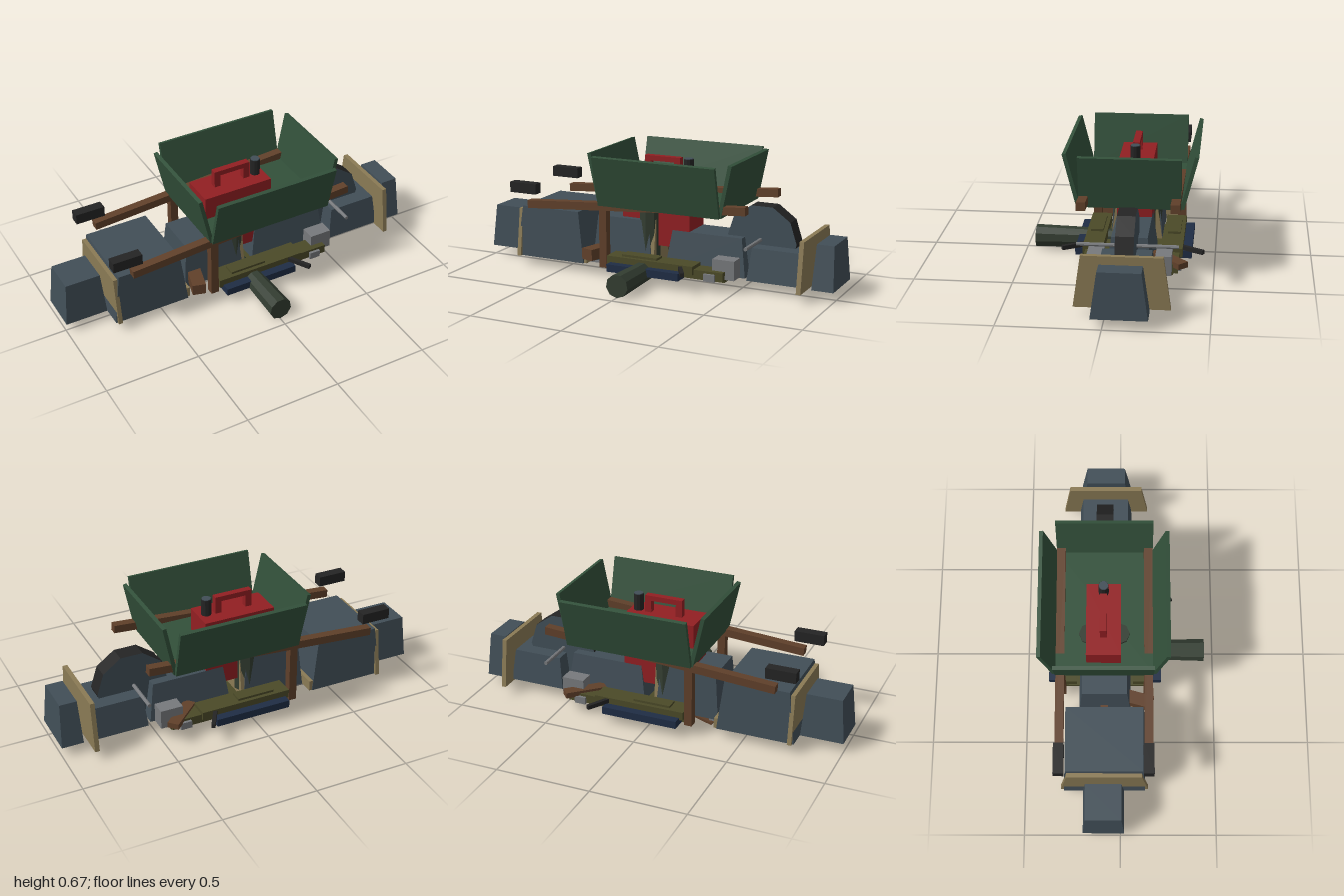
import * as THREE from 'three';

const mat = (name, color) => {
  const m = new THREE.MeshStandardMaterial({ color });
  m.name = name;
  return m;
};
const MID = -0.083; // depth of the mirror plane

export function createModel() {
  const model = new THREE.Group();
  model.name = 'barrowAndRubble';
  const slate = mat('slate', 0x414e57), tan = mat('tan', 0x8a7a55), green = mat('green', 0x32503a);
  const brown = mat('brown', 0x60402a), red = mat('red', 0x921f22), black = mat('black', 0x242424);
  const drab = mat('drabGreen', 0x333d31), navy = mat('navy', 0x1f2d45);
  const olive = mat('olive', 0x4b4a28), steel = mat('steel', 0x77797c);

  const add = (name, geometry, material) => {
    const m = new THREE.Mesh(geometry, material);
    m.name = name;
    model.add(m);
    return m;
  };
  // box from its lower and upper limits on each axis
  const box = (name, material, x0, x1, y0, y1, z0, z1) => {
    const m = add(name, new THREE.BoxGeometry(x1 - x0, y1 - y0, z1 - z0), material);
    m.position.set((x0 + x1) / 2, (y0 + y1) / 2, (z0 + z1) / 2);
    return m;
  };
  // box whose top is drawn in by dx and dz on each side
  const taper = (name, material, x0, x1, y0, y1, z0, z1, dx, dz) => {
    const m = box(name, material, x0, x1, y0, y1, z0, z1);
    const p = m.geometry.attributes.position;
    for (let i = 0; i < p.count; i++) {
      if (p.getY(i) > 0) {
        p.setX(i, p.getX(i) - Math.sign(p.getX(i)) * dx);
        p.setZ(i, p.getZ(i) - Math.sign(p.getZ(i)) * dz);
      }
    }
    m.geometry.computeVertexNormals();
    return m;
  };
  // bar of square section between two points
  const beam = (name, material, a, b, height, width) => {
    const from = new THREE.Vector3(...a), to = new THREE.Vector3(...b);
    const m = add(name, new THREE.BoxGeometry(width, height, from.distanceTo(to)), material);
    m.position.copy(from).add(to).multiplyScalar(0.5);
    m.lookAt(to);
    return m;
  };
  const drum = (name, material, rTop, rBottom, length, sides, x, y, z) => {
    const g = new THREE.CylinderGeometry(rTop, rBottom, length, sides).toNonIndexed();
    g.computeVertexNormals();
    const m = add(name, g, material);
    m.position.set(x, y, z);
    return m;
  };

  // stone blocks
  taper('rightEndBlock', slate, -1, -0.775, 0.055, 0.285, -0.195, 0.02, 0.02, 0.015);
  taper('rightBlock', slate, -0.775, -0.365, 0.055, 0.33, -0.295, 0.13, 0.035, 0.012);
  taper('innerRightBlock', slate, -0.345, 0, 0.06, 0.305, -0.22, 0.055, 0.022, 0.02);
  taper('innerLeftBlock', slate, 0.07, 0.52, 0.06, 0.262, -0.2, 0.03, 0.03, 0.025);
  taper('leftBlock', slate, 0.54, 0.845, 0.06, 0.23, -0.225, 0.06, 0.02, 0.02);
  taper('leftEndBlock', slate, 0.885, 1, 0.055, 0.285, -0.215, 0.055, 0.012, 0.032);

  // upright boards
  taper('leftBoard', tan, 0.838, 0.862, 0.052, 0.312, -0.312, 0.15, 0, 0.037);
  taper('rightBoard', tan, -0.767, -0.745, 0.055, 0.312, -0.312, 0.146, 0, 0.037);
  taper('middleBoard', tan, -0.01, 0.012, 0.055, 0.312, -0.22, 0.055, 0, 0.035);
  box('lowBoard', tan, -0.37, -0.35, 0.055, 0.11, -0.29, 0.12);

  // tray floor and four flared walls
  box('trayFloor', green, -0.245, 0.437, 0.398, 0.415, -0.335, 0.17);
  const wall = (length, x, z, turn, lean) => {
    const g = new THREE.BoxGeometry(length, 0.275, 0.02);
    g.translate(0, 0.1375, 0);
    const m = add('trayWall', g, green);
    m.rotation.set(lean, turn, 0, 'YXZ');
    m.position.set(x, 0.398, z);
  };
  wall(0.682, 0.096, 0.173, 0, 0.25);
  wall(0.682, 0.096, -0.339, Math.PI, 0.25);
  wall(0.505, 0.432, MID, Math.PI / 2, 0.2);
  wall(0.505, -0.242, MID, -Math.PI / 2, 0.22);

  // wheel with slate faces, and axle
  const wheel = drum('wheel', [black, slate, slate], 0.19, 0.19, 0.09, 10, 0.58, 0.25, MID);
  wheel.geometry = new THREE.CylinderGeometry(0.19, 0.19, 0.09, 10, 1, false, Math.PI / 2).toNonIndexed();
  wheel.geometry.clearGroups();
  wheel.geometry.addGroup(0, 60, 0);
  wheel.geometry.addGroup(60, 30, 1);
  wheel.geometry.addGroup(90, 30, 2);
  wheel.geometry.computeVertexNormals();
  wheel.rotation.x = Math.PI / 2;
  drum('axle', steel, 0.01, 0.01, 0.5, 8, 0.575, 0.255, MID).rotation.x = Math.PI / 2;

  // parts repeated at the front and back
  for (const s of [1, -1]) {
    const z = (d) => MID + s * d;
    const pair = (name, m, x0, x1, y0, y1, a, b) =>
      box(name, m, x0, x1, y0, y1, Math.min(z(a), z(b)), Math.max(z(a), z(b)));
    beam('handleRail', brown, [-0.68, 0.355, z(0.228)], [0.57, 0.445, z(0.228)], 0.042, 0.045);
    pair('handleGrip', black, -0.785, -0.628, 0.412, 0.468, 0.2, 0.253);
    pair('leg', brown, -0.247, -0.205, 0.06, 0.4, 0.207, 0.25);
    drum('bottle', drab, 0.058, 0.058, 0.33, 8, -0.035, 0.265, z(0.073));
    // long narrow pieces lying along the base
    pair('lowBar', navy, -0.18, 0.23, 0.057, 0.097, 0.2, 0.3);
    pair('upperBar', olive, -0.2, 0.29, 0.085, 0.13, 0.15, 0.255);
    pair('upperBarCap', olive, -0.12, 0.08, 0.1, 0.142, 0.17, 0.235);
    pair('barEnd', olive, 0.23, 0.45, 0.065, 0.112, 0.15, 0.24);
    beam('blackRod', black, [0.19, 0.113, z(0.2)], [0.282, 0.113, z(0.36)], 0.022, 0.02);
    pair('steelCase', steel, 0.38, 0.5, 0.07, 0.172, 0.13, 0.21);
    pair('steelFoot', steel, 0.35, 0.41, 0.062, 0.1, 0.2, 0.255);
    pair('steelPlate', steel, -0.385, -0.29, 0.04, 0.052, 0.03, 0.12);
  }

  // tool case with handle and knob
  box('toolCase', red, -0.19, 0.196, 0.17, 0.54, -0.175, 0.003);
  box('caseHandle', red, -0.097, 0.107, 0.605, 0.632, -0.104, -0.069);
  for (const x of [-0.08, 0.09]) box('handlePost', red, x - 0.017, x + 0.017, 0.54, 0.61, -0.104, -0.069);
  drum('knob', black, 0.026, 0.026, 0.09, 10, 0.15, 0.583, -0.086);
  drum('knobCap', slate, 0.024, 0.024, 0.006, 10, 0.15, 0.629, -0.086);

  // tapered barrel reaching forward
  drum('barrel', drab, 0.061, 0.049, 0.42, 9, 0.003, 0.065, 0.24).rotation.x = Math.PI / 2;

  // loose planks and scraps around the base
  beam('loosePlank', brown, [-0.32, 0.12, 0.17], [-0.22, 0.12, -0.2], 0.06, 0.07);
  beam('loosePlank', brown, [0.3, 0.11, -0.2], [0.46, 0.11, -0.35], 0.03, 0.06);
  beam('shortPlank', brown, [-0.385, 0.13, -0.085], [-0.27, 0.13, -0.085], 0.05, 0.04);
  beam('tiltedPlank', brown, [-0.31, 0.026, -0.105], [-0.21, 0.055, -0.105], 0.012, 0.22);
  box('basePlate', olive, -0.2, 0.45, 0.055, 0.075, -0.3, 0.13);
  box('redSlat', red, -0.12, 0.16, 0.036, 0.055, -0.2, 0.01);
  box('blackStub', black, 0.035, 0.065, 0.003, 0.05, -0.1, -0.065);
  for (const x of [-0.09, 0.12, 0.26, 0.34]) box('crossStrip', black, x - 0.012, x + 0.012, 0.038, 0.056, -0.17, 0.05);
  return model;
}
